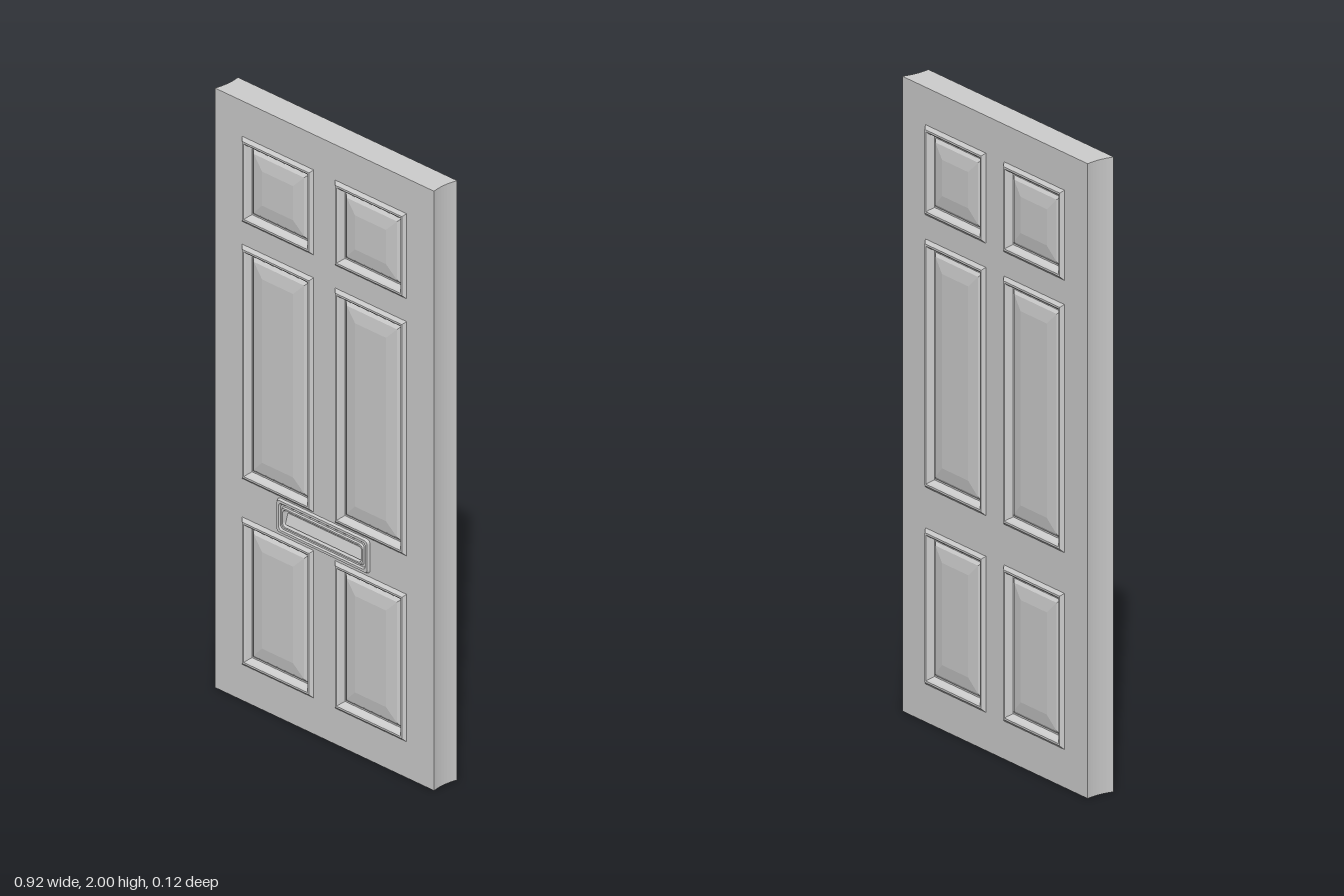
import * as THREE from 'three';

const W = 0.92, H = 2, HALF = 0.048; // slab width, height, half thickness

// Counter-clockwise rectangle outline, with optional rounded corners
function outline(cx, cy, w, h, r = 0) {
  const steps = r > 0 ? 5 : 0, pts = [];
  const corners = [[1, -1, -90], [1, 1, 0], [-1, 1, 90], [-1, -1, 180]];
  for (const [sx, sy, start] of corners) {
    for (let i = 0; i <= steps; i++) {
      const a = THREE.MathUtils.degToRad(start + (steps ? (90 * i) / steps : 0));
      const ox = r > 0 ? r * Math.cos(a) : 0, oy = r > 0 ? r * Math.sin(a) : 0;
      pts.push(new THREE.Vector2(cx + sx * (w / 2 - r) + ox, cy + sy * (h / 2 - r) + oy));
    }
  }
  return pts;
}

// Mitred surface through nested outlines; profile rows are [inset, z]
function rings(box, profile, { capped = true, insetY = 1 } = {}) {
  const [cx, cy, w, h, r = 0] = box;
  const loops = profile.map(([inset, z]) =>
    outline(cx, cy, w - 2 * inset, h - 2 * inset * insetY, r)
      .map((p) => new THREE.Vector3(p.x, p.y, z)));
  const tris = [];
  for (let k = 0; k + 1 < loops.length; k++) {
    const a = loops[k], b = loops[k + 1], n = a.length;
    for (let i = 0; i < n; i++) {
      const j = (i + 1) % n;
      tris.push(a[i], a[j], b[j], a[i], b[j], b[i]);
    }
  }
  if (capped) {
    const last = loops[loops.length - 1];
    for (let i = 1; i + 1 < last.length; i++) tris.push(last[0], last[i], last[i + 1]);
  }
  const geo = new THREE.BufferGeometry().setFromPoints(tris);
  geo.computeVertexNormals();
  return geo;
}

export function createModel() {
  const door = new THREE.Group();
  door.name = 'door';
  const material = new THREE.MeshStandardMaterial({ color: 0xcccccc });
  const add = (parent, name, geometry) => {
    const mesh = new THREE.Mesh(geometry, material);
    mesh.name = name;
    parent.add(mesh);
    return mesh;
  };

  // Panel openings: three rows, mirrored about the middle stile
  const panels = [];
  for (const [bottom, top] of [[0.12, 0.612], [0.74, 1.522], [1.598, 1.882]])
    for (const side of [-1, 1])
      panels.push([side * 0.195, (bottom + top) / 2, 0.3, top - bottom]);
  const letterBox = [-0.003, 0.678, 0.388, 0.114, 0.012];

  // Raised moulding, groove, then a gently bevelled field
  const panelProfile = [
    [0, 0], [0.01, 0.01], [0.016, 0.01], [0.021, 0.005],
    [0.029, -0.012], [0.034, -0.012], [0.044, -0.004], [0.085, 0.002],
  ];

  for (const face of ['front', 'back']) {
    const group = new THREE.Group();
    group.name = face + 'Side';
    if (face === 'back') group.rotation.y = Math.PI;

    // Stiles and rails around the openings
    const shape = new THREE.Shape(outline(0, H / 2, W, H));
    const openings = face === 'front' ? [...panels, letterBox] : panels;
    for (const box of openings) shape.holes.push(new THREE.Path(outline(...box)));
    add(group, face + 'Frame', new THREE.ShapeGeometry(shape)).position.z = HALF;

    for (const box of panels)
      add(group, face + 'Panel', rings(box, panelProfile)).position.z = HALF;
    door.add(group);
  }

  // Hollowed side edges, straight top and bottom
  const rim = [];
  for (let i = 0; i <= 8; i++) {
    const t = (i / 8) * 2 - 1;
    rim.push([0.006 * (1 - t * t), t * HALF]);
  }
  add(door, 'slabEdges', rings([0, H / 2, W, H], rim, { capped: false, insetY: 0 }));

  // Letter box: stepped plate with a recessed slot
  const letter = new THREE.Group();
  letter.name = 'letterBox';
  letter.position.z = HALF;
  add(letter, 'letterPlate', rings(letterBox, [
    [0, 0], [0.004, 0.008], [0.012, 0.008], [0.016, 0.003],
    [0.021, 0.003], [0.024, 0.008], [0.029, 0.008], [0.031, -0.016],
  ]));
  // Sloping flap inside the slot
  const flap = add(letter, 'letterFlap', new THREE.BoxGeometry(0.322, 0.036, 0.006));
  flap.position.set(-0.003, 0.671, -0.008);
  flap.rotation.x = -0.3;
  door.add(letter);

  return door;
}
